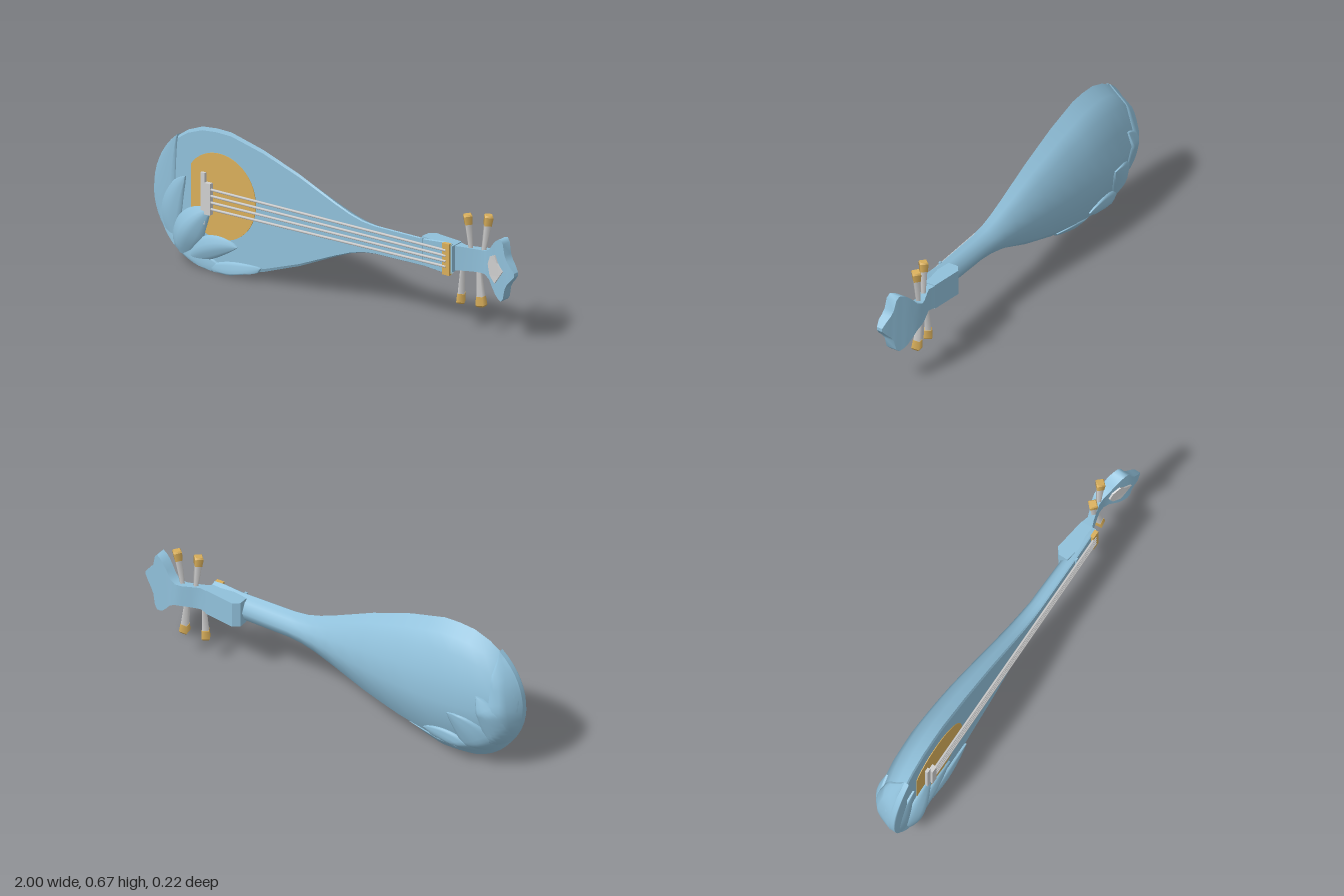
import * as THREE from 'three';

const mat = (name, color, side = THREE.FrontSide) => {
  const m = new THREE.MeshStandardMaterial({ color, side });
  m.name = name;
  return m;
};

const CY = 0.345;   // height of the long axis
const EDGE = 0.054; // z of the body rim
const FACE = 0.06;  // z of the soundboard
const BULB = { x: -0.66, r: 0.335 };

// Linear lookup in a list of [x, value, value...]
function look(table, x, k = 1) {
  if (x <= table[0][0]) return table[0][k];
  for (let i = 1; i < table.length; i++) {
    const a = table[i - 1], b = table[i];
    if (x <= b[0]) return a[k] + (b[k] - a[k]) * (x - a[0]) / (b[0] - a[0]);
  }
  return table[table.length - 1][k];
}

const WIDTHS = [[-0.66, 0.333], [-0.58, 0.331], [-0.4, 0.286], [-0.2, 0.215], [0, 0.127],
  [0.08, 0.095], [0.15, 0.075], [0.22, 0.067], [0.5, 0.065], [0.6, 0.074], [0.645, 0.072]];
const BACKS = [[-0.994, 0.04], [-0.985, 0], [-0.96, -0.04], [-0.92, -0.065], [-0.85, -0.088],
  [-0.75, -0.105], [-0.6, -0.112], [-0.45, -0.104], [-0.3, -0.088], [-0.15, -0.065], [0, -0.04],
  [0.1, -0.025], [0.22, -0.012], [0.645, 0]];

const halfWidth = x => x < BULB.x
  ? Math.sqrt(Math.max(0, BULB.r ** 2 - (x - BULB.x) ** 2)) : look(WIDTHS, x);

function backZ(x, y) {
  const t = Math.min(1, Math.abs(y - CY) / Math.max(halfWidth(x), 0.001));
  const g = t < 0.7 ? 1 - 0.36 * t / 0.7 : 0.64 * (1 - t) / 0.3;
  return EDGE + (look(BACKS, x) - EDGE) * g;
}

// Grid surface through rows of points
function loft(rows) {
  const n = rows[0].length, index = [];
  for (let i = 0; i < rows.length - 1; i++) for (let j = 0; j < n - 1; j++) {
    const a = i * n + j, b = a + n;
    index.push(a, b, a + 1, a + 1, b, b + 1);
  }
  const g = new THREE.BufferGeometry();
  g.setAttribute('position', new THREE.Float32BufferAttribute(rows.flat(2), 3));
  g.setIndex(index);
  g.computeVertexNormals();
  return g;
}

// Petal lying on the front (side = 1) or back (side = -1), held inside the body outline
function petal(base, mid, tip, width, height, side) {
  const v = p => new THREE.Vector2(...p);
  const curve = new THREE.QuadraticBezierCurve(v(base), v(mid), v(tip));
  const rows = [];
  for (let i = 0; i <= 14; i++) {
    const u = i / 14, c = curve.getPoint(u), d = curve.getTangent(u);
    const hw = width * Math.pow(Math.sin(Math.PI * Math.min(1, 0.12 + 0.88 * u)), 0.75);
    rows.push([-1, -0.97, -0.7, -0.35, 0, 0.35, 0.7, 0.97, 1].map(s => {
      let x = c.x - d.y * s * hw, y = c.y + d.x * s * hw;
      const dx = x - BULB.x, dy = y - CY, r = Math.hypot(dx, dy), R = BULB.r + 0.004;
      if (x < BULB.x) {
        if (r > R) { x = BULB.x + dx * R / r; y = CY + dy * R / r; }
      } else {
        const w = halfWidth(x) + 0.004;
        y = CY + Math.max(-w, Math.min(w, dy));
      }
      const a = Math.abs(s);
      const off = a === 1 ? -0.003 : 0.008 + height * (1 - a ** 1.5) * Math.sin(Math.PI * (0.1 + 0.9 * u));
      return [x, y, side > 0 ? FACE + off : backZ(x, y) - off];
    }));
  }
  return loft(rows);
}

export function createModel() {
  const blue = mat('blue lacquer', 0x90c0da, THREE.DoubleSide);
  const gold = mat('gold', 0xd8ae5a);
  const grey = mat('pale grey', 0xcfcfcf);
  const root = new THREE.Group();
  root.name = 'lute';
  const add = (name, geo, material, parent = root) => {
    const m = new THREE.Mesh(geo, material);
    m.name = name;
    parent.add(m);
    return m;
  };
  const box = (name, x0, x1, y0, y1, z0, z1, material) =>
    add(name, new THREE.BoxGeometry(x1 - x0, y1 - y0, z1 - z0), material)
      .position.set((x0 + x1) / 2, (y0 + y1) / 2, (z0 + z1) / 2);

  // Pear-shaped body and neck: faceted back, bevelled rim, flat soundboard
  const stations = [-0.994, -0.988, -0.975, -0.95, -0.92, -0.88, -0.82, -0.74, -0.66, -0.58, -0.5,
    -0.4, -0.3, -0.2, -0.1, 0, 0.08, 0.15, 0.22, 0.35, 0.5, 0.6, 0.645];
  const strip = f => loft(stations.map(x => f(x, halfWidth(x))));
  add('bodyBack', strip((x, w) => [1, 0.85, 0.7, 0.35, 0, -0.35, -0.7, -0.85, -1].map(t =>
    [x, CY + t * w, backZ(x, CY + t * w)])), blue);
  for (const s of [1, -1]) {
    add('bodyRim', strip((x, w) => [[x, CY + s * w, EDGE], [x, CY + s * w * 0.95, FACE]]), blue);
  }
  add('soundboard', strip((x, w) => [[x, CY - w * 0.95, FACE], [x, CY + w * 0.95, FACE]]), blue);

  // Block behind the top of the neck
  const block = new THREE.Shape([[0.46, -0.018], [0.49, -0.04], [0.645, -0.018], [0.65, 0.058],
    [0.6, 0.055], [0.46, 0.03]].map(p => new THREE.Vector2(...p)));
  const blockGeo = new THREE.ExtrudeGeometry(block, { depth: 0.124, bevelEnabled: false });
  blockGeo.rotateX(Math.PI / 2);
  add('neckBlock', blockGeo, blue).position.y = CY + 0.062;

  // Curved pegbox flaring into a lobed head: x, half width, front z, back z
  const HEAD = [[0.64, 0.058, 0.04, -0.018], [0.68, 0.056, 0.024, -0.008], [0.72, 0.054, 0.012, -0.022],
    [0.76, 0.053, 0.002, -0.038], [0.79, 0.055, 0.003, -0.045], [0.82, 0.07, 0.012, -0.04],
    [0.845, 0.1, 0.022, -0.03], [0.87, 0.125, 0.033, -0.022], [0.89, 0.138, 0.04, -0.013],
    [0.912, 0.145, 0.048, -0.004], [0.928, 0.128, 0.053, 0.002], [0.94, 0.078, 0.056, 0.008],
    [0.955, 0.055, 0.06, 0.014], [0.975, 0.035, 0.064, 0.022], [0.997, 0.008, 0.06, 0.032]];
  const headGeo = new THREE.BoxGeometry(1, 1, 1, HEAD.length - 1, 2, 1);
  const p = headGeo.attributes.position;
  for (let i = 0; i < p.count; i++) {
    const [x, w, f, b] = HEAD[Math.round((p.getX(i) + 0.5) * (HEAD.length - 1))];
    p.setXYZ(i, x, CY + 2 * w * p.getY(i), p.getZ(i) > 0 ? f : b);
  }
  headGeo.computeVertexNormals();
  add('pegboxAndHead', headGeo, blue);

  // Pale star plate following the slope of the head
  const star = new THREE.Shape([[0.818, 0.35], [0.835, 0.39], [0.872, 0.408], [0.892, 0.375],
    [0.93, 0.345], [0.905, 0.315], [0.872, 0.275], [0.832, 0.302]].map(q => new THREE.Vector2(...q)));
  const starGeo = new THREE.ExtrudeGeometry(star, { depth: 0.008, bevelEnabled: false });
  const sp = starGeo.attributes.position;
  for (let i = 0; i < sp.count; i++) sp.setZ(i, sp.getZ(i) + look(HEAD, sp.getX(i), 2));
  starGeo.computeVertexNormals();
  add('headPlate', starGeo, grey);

  // Golden moon on the soundboard, cut straight on one side
  const moon = new THREE.Shape(Array.from({ length: 48 }, (_, i) => {
    const a = i / 48 * Math.PI * 2;
    return new THREE.Vector2(Math.max(-0.8, -0.642 + 0.202 * Math.cos(a)), 0.363 + 0.202 * Math.sin(a));
  }));
  add('moonInlay', new THREE.ExtrudeGeometry(moon, { depth: 0.003, bevelEnabled: false }), gold)
    .position.z = FACE;

  // Bridge, nut and fret
  box('bridgeBar', -0.738, -0.715, 0.22, 0.462, 0.058, 0.077, grey);
  box('bridge', -0.71, -0.678, 0.272, 0.42, 0.058, 0.086, grey);
  box('nut', 0.605, 0.643, 0.27, 0.418, 0.054, 0.073, gold);
  box('fret', 0.476, 0.49, 0.295, 0.412, 0.056, 0.066, blue);

  // Rod between two points, thicker at the far end if wanted
  const rod = (name, a, b, r0, r1, sides, material) => {
    const d = b.clone().sub(a);
    const m = add(name, new THREE.CylinderGeometry(r1, r0, d.length(), sides), material);
    m.position.copy(a).add(b).multiplyScalar(0.5);
    m.quaternion.setFromUnitVectors(new THREE.Vector3(0, 1, 0), d.normalize());
  };

  // Four strings
  [[0.392, 0.386], [0.362, 0.36], [0.331, 0.335], [0.3, 0.31]].forEach(([y0, y1]) =>
    rod('string', new THREE.Vector3(-0.69, y0, 0.077), new THREE.Vector3(0.625, y1, 0.071),
      0.006, 0.006, 6, grey));

  // Tapered tuning pegs with golden caps
  [[0.715, 0, 0.698, 0.555, 0.008], [0.765, -0.01, 0.798, 0.565, -0.018],
    [0.675, 0.01, 0.66, 0.13, 0.008], [0.745, -0.01, 0.768, 0.132, -0.002]].forEach(([x, z, tx, ty, tz]) => {
    const a = new THREE.Vector3(x, CY, z), b = new THREE.Vector3(tx, ty, tz);
    const at = t => a.clone().lerp(b, t);
    rod('tuningPeg', a, at(0.79), 0.01, 0.021, 4, grey);
    rod('pegCap', at(0.78), at(0.965), 0.023, 0.027, 4, gold);
    rod('pegCapEnd', at(0.965), b, 0.027, 0.021, 4, gold);
  });

  // Lotus petals wrapping the lower end, front and back: base, mid, tip, width, height
  const petals = [
    [[-0.93, 0.12], [-1.03, 0.36], [-0.88, 0.615], 0.08, 0.008],
    [[-0.68, 0.02], [-0.56, 0.0], [-0.41, 0.075], 0.05, 0.012],
    [[-0.9, 0.14], [-0.95, 0.28], [-0.83, 0.42], 0.06, 0.016],
    [[-0.8, 0.05], [-0.7, 0.14], [-0.54, 0.145], 0.055, 0.02],
    [[-0.85, 0.06], [-0.83, 0.2], [-0.69, 0.295], 0.08, 0.042],
  ];
  const calyx = new THREE.Group();
  calyx.name = 'lotusPetals';
  root.add(calyx);
  for (const [base, mid, tip, width, height] of petals) {
    add('frontPetal', petal(base, mid, tip, width, height, 1), blue, calyx);
    add('backPetal', petal(base, mid, tip, width, Math.min(height, 0.016), -1), blue, calyx);
  }
  // Low covering petal at the foot
  for (const s of [1, -1]) {
    add('footPetal', petal([-0.95, 0.16], [-0.86, 0.02], [-0.62, 0.03], 0.07, 0.01, s), blue, calyx);
  }
  return root;
}
